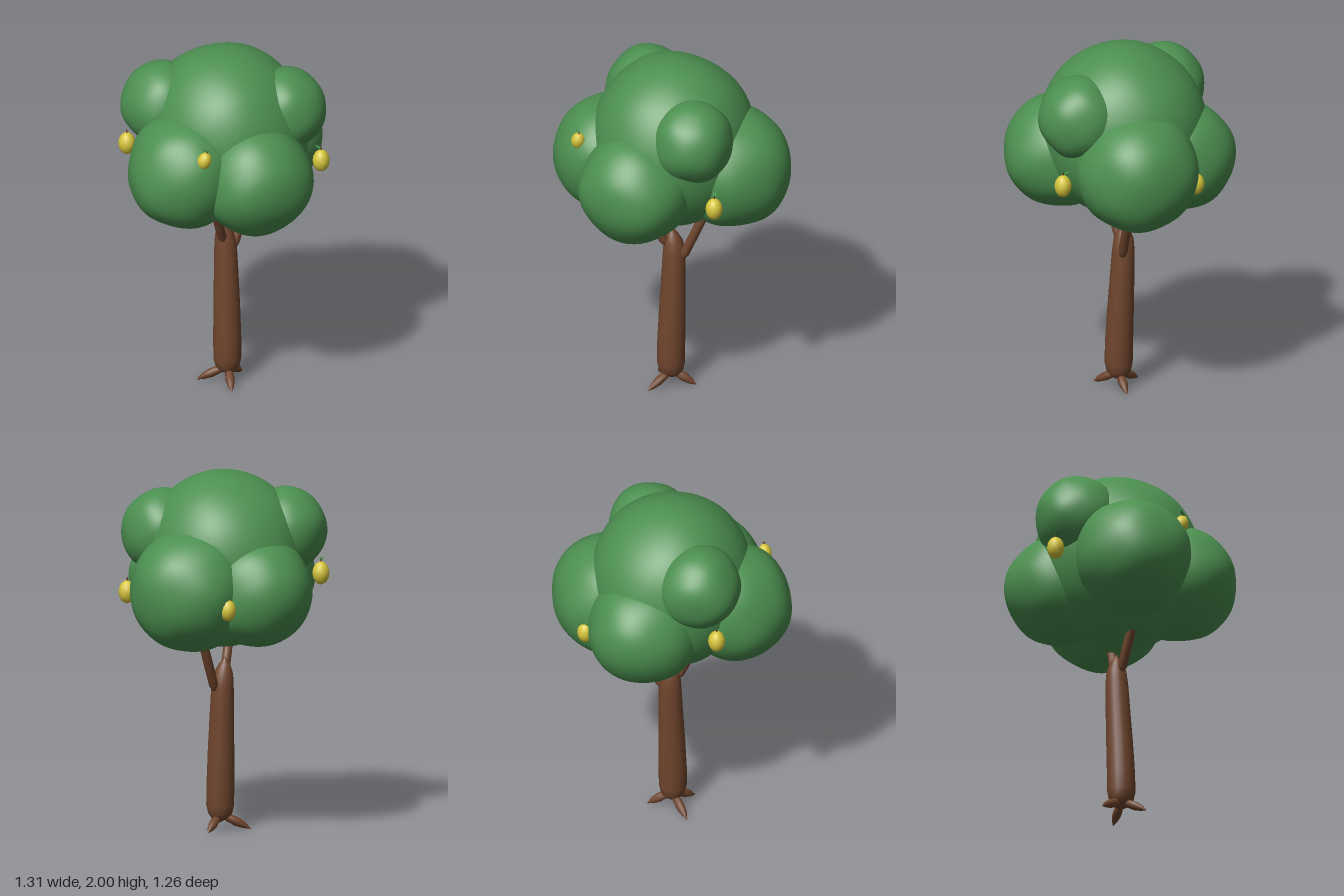
import * as THREE from 'three';
import { mergeVertices } from 'three/addons/utils/BufferGeometryUtils.js';

const mat = (name, color, extra = {}) => {
  const m = new THREE.MeshStandardMaterial({ color, ...extra });
  m.name = name;
  return m;
};

function add(parent, name, geometry, material) {
  const mesh = new THREE.Mesh(geometry, material);
  mesh.name = name;
  parent.add(mesh);
  return mesh;
}

// Smooth ball with soft lumps, scaled to the given radii
function lumpyBall(rx, ry, rz, amount, seed) {
  let g = new THREE.IcosahedronGeometry(1, 11);
  g.deleteAttribute('uv');
  g.deleteAttribute('normal');
  g = mergeVertices(g, 1e-4);
  const p = g.attributes.position;
  const v = new THREE.Vector3();
  for (let i = 0; i < p.count; i++) {
    v.fromBufferAttribute(p, i);
    const lump = Math.sin(4.1 * v.x + seed) * Math.sin(3.7 * v.y + seed * 2.3)
      + Math.sin(4.3 * v.z + seed * 1.7) * Math.cos(3.9 * v.x - seed)
      + 0.5 * Math.sin(6.5 * v.y + seed * 3.1) * Math.cos(6.1 * v.z + seed);
    v.multiplyScalar(1 + amount * lump);
    p.setXYZ(i, v.x * rx, v.y * ry, v.z * rz);
  }
  g.computeVertexNormals();
  return g;
}

// Tapered limb: stations are [x, y, z, radius], joined by round horizontal or path-aligned rings
function limb(stations, sides = 16) {
  const pts = stations.map(s => new THREE.Vector3(s[0], s[1], s[2]));
  const axis = pts[pts.length - 1].clone().sub(pts[0]).normalize();
  const turn = new THREE.Quaternion().setFromUnitVectors(new THREE.Vector3(0, 1, 0), axis);
  const pos = [], idx = [];
  stations.forEach((s, j) => {
    for (let i = 0; i < sides; i++) {
      const a = (i / sides) * Math.PI * 2;
      const v = new THREE.Vector3(Math.sin(a) * s[3], 0, Math.cos(a) * s[3]).applyQuaternion(turn).add(pts[j]);
      pos.push(v.x, v.y, v.z);
      if (j === 0) continue;
      const n = (i + 1) % sides, b = (j - 1) * sides, t = j * sides;
      idx.push(b + i, b + n, t + n, b + i, t + n, t + i);
    }
  });
  const g = new THREE.BufferGeometry();
  g.setAttribute('position', new THREE.Float32BufferAttribute(pos, 3));
  g.setIndex(idx);
  g.computeVertexNormals();
  return g;
}

export function createModel() {
  const tree = new THREE.Group();
  tree.name = 'fruitTree';
  const foliage = mat('foliageGreen', 0x4c8f50);
  const bark = mat('barkBrown', 0x6f452d);
  const rind = mat('fruitYellow', 0xd6c53c);
  const leafGreen = mat('leafGreen', 0x3f8a4a, { side: THREE.DoubleSide });

  // Trunk, pointed at both ends and leaning slightly back
  add(tree, 'trunk', limb([
    [0, 0.04, 0, 0.002], [0, 0.065, 0, 0.045], [-0.002, 0.09, 0, 0.066], [-0.003, 0.14, 0, 0.077],
    [-0.003, 0.25, -0.002, 0.077], [0, 0.45, -0.01, 0.073], [0.003, 0.65, -0.019, 0.067],
    [0.004, 0.8, -0.025, 0.062], [0, 0.87, -0.027, 0.054], [-0.008, 0.92, -0.028, 0.032],
    [-0.014, 0.962, -0.028, 0.002],
  ], 20), bark);

  // Branches reaching into the crown
  const branches = [
    [[0.052, 0.775, -0.017], [0.23, 1.19, -0.06]],
    [[-0.03, 0.85, -0.005], [-0.17, 1.17, 0.075]],
  ];
  for (const [a, b] of branches) {
    const at = (t, r) => [0, 1, 2].map(k => a[k] + (b[k] - a[k]) * t).concat(r);
    add(tree, 'branch', limb([at(0, 0.002), at(0.03, 0.017), at(0.1, 0.026), at(0.5, 0.026), at(1, 0.022)], 12), bark);
  }

  // Roots splayed on the ground
  for (const [x, z] of [[0.13, -0.04], [-0.08, 0.132], [-0.128, -0.11]]) {
    add(tree, 'root', limb([
      [0, 0.085, 0, 0.004], [x * 0.25, 0.068, z * 0.25, 0.022], [x * 0.55, 0.043, z * 0.55, 0.025],
      [x * 0.8, 0.022, z * 0.8, 0.017], [x, 0.003, z, 0.002],
    ], 10), bark);
  }

  // Crown: position, radii, lumpiness
  const clumps = [
    ['crownCentre', [0, 1.51, -0.02], [0.45, 0.485, 0.465], 0.008],
    ['crownFront', [-0.07, 1.365, 0.315], [0.315, 0.315, 0.315], 0.018],
    ['crownBack', [0.04, 1.37, -0.32], [0.31, 0.31, 0.315], 0.018],
    ['crownLeft', [0.325, 1.38, -0.09], [0.325, 0.34, 0.33], 0.018],
    ['crownRight', [-0.34, 1.395, 0.05], [0.315, 0.325, 0.315], 0.018],
    ['crownUpperFront', [0.22, 1.66, 0.22], [0.225, 0.235, 0.228], 0.018],
    ['crownUpperBack', [-0.25, 1.665, -0.25], [0.23, 0.235, 0.23], 0.018],
  ];
  clumps.forEach(([name, at, r, amount], i) => {
    add(tree, name, lumpyBall(...r, amount, i * 1.9 + 0.6), foliage).position.set(...at);
  });

  // Hanging fruit with a stem and a leaf
  const profile = [[0, -0.065], [0.012, -0.061], [0.03, -0.05], [0.043, -0.025], [0.047, 0],
    [0.043, 0.025], [0.03, 0.048], [0.013, 0.06], [0, 0.063]].map(p => new THREE.Vector2(...p));
  const fruitShape = new THREE.LatheGeometry(profile, 20);
  const leafOutline = new THREE.Shape();
  leafOutline.moveTo(0, 0);
  leafOutline.quadraticCurveTo(0.022, 0.02, 0, 0.045);
  leafOutline.quadraticCurveTo(-0.022, 0.02, 0, 0);
  const leafShape = new THREE.ShapeGeometry(leafOutline, 6);
  const fruits = [
    [[0.395, 1.33, 0.32], [0, 0, 0], 1],
    [[-0.42, 1.57, 0.31], [0.25, 0, -0.2], 0.82],
    [[0.35, 1.315, -0.41], [0, 0, 0], 0.95],
    [[-0.405, 1.42, -0.375], [0, 0, 0], 1],
  ];
  fruits.forEach(([at, tilt, size], i) => {
    const fruit = new THREE.Group();
    fruit.name = 'fruit';
    add(fruit, 'fruitBody', fruitShape, rind);
    add(fruit, 'fruitStem', new THREE.CylinderGeometry(0.004, 0.004, 0.022, 6), bark).position.y = 0.068;
    const leaf = add(fruit, 'fruitLeaf', leafShape, leafGreen);
    leaf.position.set(0, 0.066, 0);
    leaf.rotation.set(-1.15, [0.3, 0.9, -1.2, 2.2][i], 0, 'YXZ');
    fruit.position.set(...at);
    fruit.rotation.set(...tilt);
    fruit.scale.setScalar(size);
    tree.add(fruit);
  });

  return tree;
}
